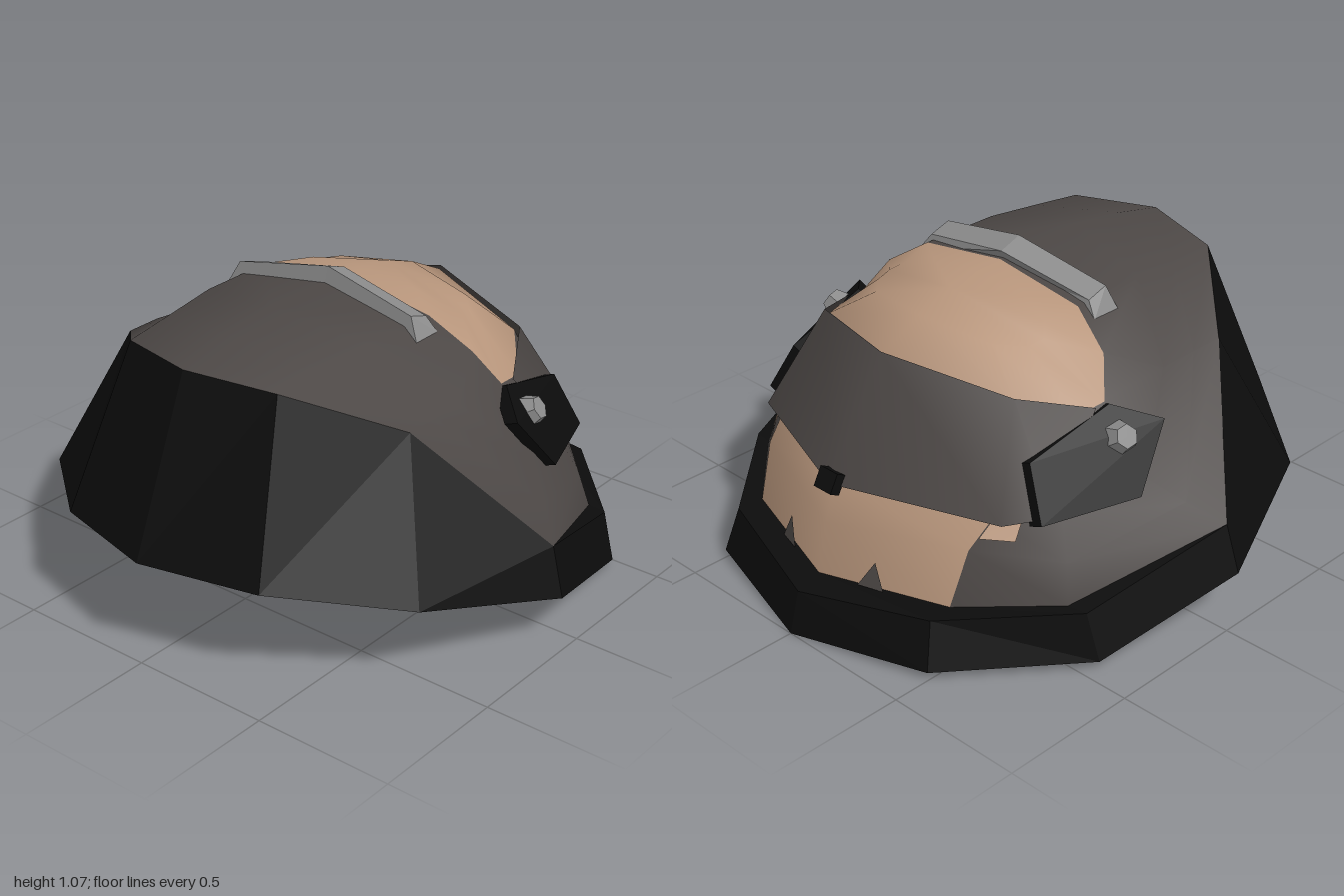
import * as THREE from 'three';

const mat = (name, color, extra = {}) => {
  const m = new THREE.MeshStandardMaterial({ color, ...extra });
  m.name = name;
  return m;
};

const geo = (points, index) => {
  const g = new THREE.BufferGeometry();
  g.setAttribute('position', new THREE.Float32BufferAttribute(points.flat(), 3));
  g.setIndex(index);
  g.computeVertexNormals();
  return g;
};

const mirrorX = ([x, y, z]) => [-x, y, z];
const lerp = (a, b, t) => a.map((v, i) => v + (b[i] - v) * t);

// Half ring of 7 points (front to back on +x) completed to 12 points
const fullRing = (half) => [...half, ...half.slice(1, 6).reverse().map(mirrorX)];

// Faces between stacked 12-point rings; visit(row, segment, triangles)
function eachBand(rows, visit) {
  for (let r = 0; r < rows - 1; r++) {
    for (let i = 0; i < 12; i++) {
      const j = (i + 1) % 12;
      const a = r * 12 + i, b = r * 12 + j, c = a + 12, d = b + 12;
      visit(r, i, i < 6 ? [a, b, d, a, d, c] : [a, b, c, b, d, c]);
    }
  }
}

// Polygon thickened along an offset vector
function prism(poly, offset) {
  const n = poly.length;
  const pts = [...poly, ...poly.map((p) => p.map((v, i) => v + offset[i]))];
  const idx = [];
  for (let i = 1; i < n - 1; i++) idx.push(0, i, i + 1, n, n + i + 1, n + i);
  for (let i = 0; i < n; i++) {
    const j = (i + 1) % n;
    idx.push(i, n + i, n + j, i, n + j, j);
  }
  return geo(pts, idx);
}

export function createModel() {
  const model = new THREE.Group();
  const flat = { flatShading: true, side: THREE.DoubleSide };
  const black = mat('black rubber', 0x0c0c0c, flat);
  const hood = mat('grey hood', 0x4c4745, { side: THREE.DoubleSide });
  const skin = mat('skin', 0xb8967c, { side: THREE.DoubleSide });
  const metal = mat('grey metal', 0x8c8c8c, flat);
  const add = (name, g, m) => {
    const mesh = new THREE.Mesh(g, m);
    mesh.name = name;
    model.add(mesh);
    return mesh;
  };

  // Black face plate and collar
  const bottom = [[0, 0.37, 1], [0.41, 0.36, 0.89], [0.79, 0.3, 0.58], [0.98, 0.18, 0.07],
    [0.85, 0.035, -0.45], [0.5, 0.03, -0.865], [0, 0, -1]];
  const headBase = [[0, 0.95, 0.76], [0.31, 0.93, 0.675], [0.6, 0.78, 0.39], [0.93, 0.35, 0.06],
    [0.73, 0.2, -0.47], [0.46, 0.19, -0.725], [0, 0.175, -0.87]];
  const rim = [...headBase.slice(0, 4), [0.8, 0.2, -0.46], [0.47, 0.19, -0.82], [0, 0.145, -0.96]];
  const collarPts = [bottom, rim, headBase].flatMap(fullRing);
  const collarIdx = [];
  eachBand(3, (r, i, tris) => collarIdx.push(...tris));
  collarPts.push([0, 0.17, 0]);
  for (let i = 0; i < 12; i++) collarIdx.push((i + 1) % 12, i, 36);
  add('facePlateAndCollar', geo(collarPts, collarIdx), black);

  // Head: smooth dome with a hood, bare crown and bare nape
  const low = [[0, 0.995, 0.55], [0.32, 0.95, 0.48], [0.6, 0.78, 0.26], [0.83, 0.43, -0.03],
    [0.7, 0.33, -0.44], [0.48, 0.38, -0.66], [0, 0.35, -0.83]];
  const mid = [[0, 1.02, 0.35], [0.34, 0.965, 0.27], [0.59, 0.77, 0.12], [0.73, 0.52, -0.12],
    [0.64, 0.46, -0.4], [0.5, 0.47, -0.57], [0, 0.48, -0.78]];
  const crown = [[0, 1.012, -0.03], [0.35, 0.96, -0.03], [0.5, 0.86, -0.07], [0.57, 0.74, -0.14],
    [0.56, 0.73, -0.25], [0.43, 0.8, -0.41], [0, 0.86, -0.56]];
  const top = [[0, 1.005, -0.13], [0.22, 0.985, -0.13], [0.32, 0.94, -0.16], [0.36, 0.91, -0.2],
    [0.35, 0.9, -0.26], [0.27, 0.91, -0.34], [0, 0.94, -0.4]];
  const headPts = [headBase, low, mid, crown, top].flatMap(fullRing);
  headPts.push([0, 0.988, -0.26]);
  const hoodIdx = [], skinIdx = [];
  eachBand(5, (r, i, tris) => {
    const bare = r === 3 || (r < 2 && (i === 5 || i === 6));
    (bare ? skinIdx : hoodIdx).push(...tris);
  });
  for (let i = 0; i < 12; i++) skinIdx.push(48 + i, 48 + ((i + 1) % 12), 60);
  const headGeo = geo(headPts, [...hoodIdx, ...skinIdx]);
  headGeo.addGroup(0, hoodIdx.length, 0);
  headGeo.addGroup(hoodIdx.length, skinIdx.length, 1);
  add('head', headGeo, [hood, skin]);

  // Wide strap around the back of the head
  const strapUp = [[0.58, 0.74, -0.19], [0.445, 0.812, -0.42], [0, 0.87, -0.57]];
  const strapLow = [[0.64, 0.475, -0.45], [0.56, 0.475, -0.595], [0.06, 0.48, -0.808]];
  const strapPts = [...strapUp, ...strapUp.slice(0, 2).reverse().map(mirrorX),
    ...strapLow, ...strapLow.slice(0, 2).reverse().map(mirrorX)];
  strapPts[7] = [0, 0.485, -0.81];
  const strapIdx = [];
  for (let i = 0; i < 4; i++) strapIdx.push(i, i + 5, i + 6, i, i + 6, i + 1);
  add('backStrap', geo(strapPts, strapIdx), hood);

  // Small buckle at the back
  const buckle = add('backBuckle', new THREE.BoxGeometry(0.08, 0.07, 0.04), black);
  buckle.position.set(0, 0.495, -0.805);
  buckle.rotation.x = 0.5;

  // Paired side details
  const plate = [[0.72, 0.69, -0.02], [0.77, 0.49, -0.18], [0.65, 0.475, -0.51],
    [0.56, 0.65, -0.47], [0.59, 0.74, -0.14]];
  const patch = [[0, 0.4], [0.42, 0.4], [0.42, 1], [0, 1]].map(([u, v]) => {
    const p = lerp(lerp(low[5], low[4], u), lerp(mid[5], mid[4], u), v);
    return [p[0] + 0.008, p[1] + 0.002, p[2] - 0.008];
  });
  const notch = [[0.24, 0.185, -0.803], [0.15, 0.185, -0.831], [0.2, 0.275, -0.796]]
    .map(([x, y, z]) => [x + 0.003, y, z - 0.008]);
  const boltGeo = new THREE.CylinderGeometry(0.04, 0.064, 0.06, 6);
  for (const side of [1, -1]) {
    const s = (p) => (side === 1 ? p : mirrorX(p));
    const name = side === 1 ? 'left' : 'right';
    add(name + 'StrapPlate', prism(plate.map(s), [-0.05 * side, -0.02, 0]), black);
    add(name + 'NapeEdge', geo(patch.map(s), [0, 1, 2, 0, 2, 3]), skin);
    add(name + 'HairNotch', geo(notch.map(s), [0, 1, 2]), hood);
    const bolt = add(name + 'Bolt', boltGeo, metal);
    bolt.position.set(0.675 * side, 0.665, -0.17);
    bolt.quaternion.setFromUnitVectors(new THREE.Vector3(0, 1, 0),
      new THREE.Vector3(0.8 * side, 0.5, -0.2).normalize());
  }

  // Bent metal bar over the forehead
  const barMid = [[0, 1.07, 0.06], [0, 1.04, -0.025], [0, 0.97, 0], [0, 0.985, 0.08]];
  const barEnd = [[0.365, 1.0, 0.085], [0.365, 0.975, 0.005], [0.405, 0.92, -0.01], [0.405, 0.92, 0.105]];
  const barPts = [...barEnd.map(mirrorX), ...barMid, ...barEnd];
  const barIdx = [0, 2, 1, 0, 3, 2, 8, 9, 10, 8, 10, 11];
  for (let r = 0; r < 8; r += 4) {
    for (let i = 0; i < 4; i++) {
      const j = (i + 1) % 4;
      barIdx.push(r + i, r + j, r + j + 4, r + i, r + j + 4, r + i + 4);
    }
  }
  // Faces wound outward
  for (let i = 0; i < barIdx.length; i += 3) [barIdx[i + 1], barIdx[i + 2]] = [barIdx[i + 2], barIdx[i + 1]];
  add('foreheadBar', geo(barPts, barIdx), metal);

  return model;
}
